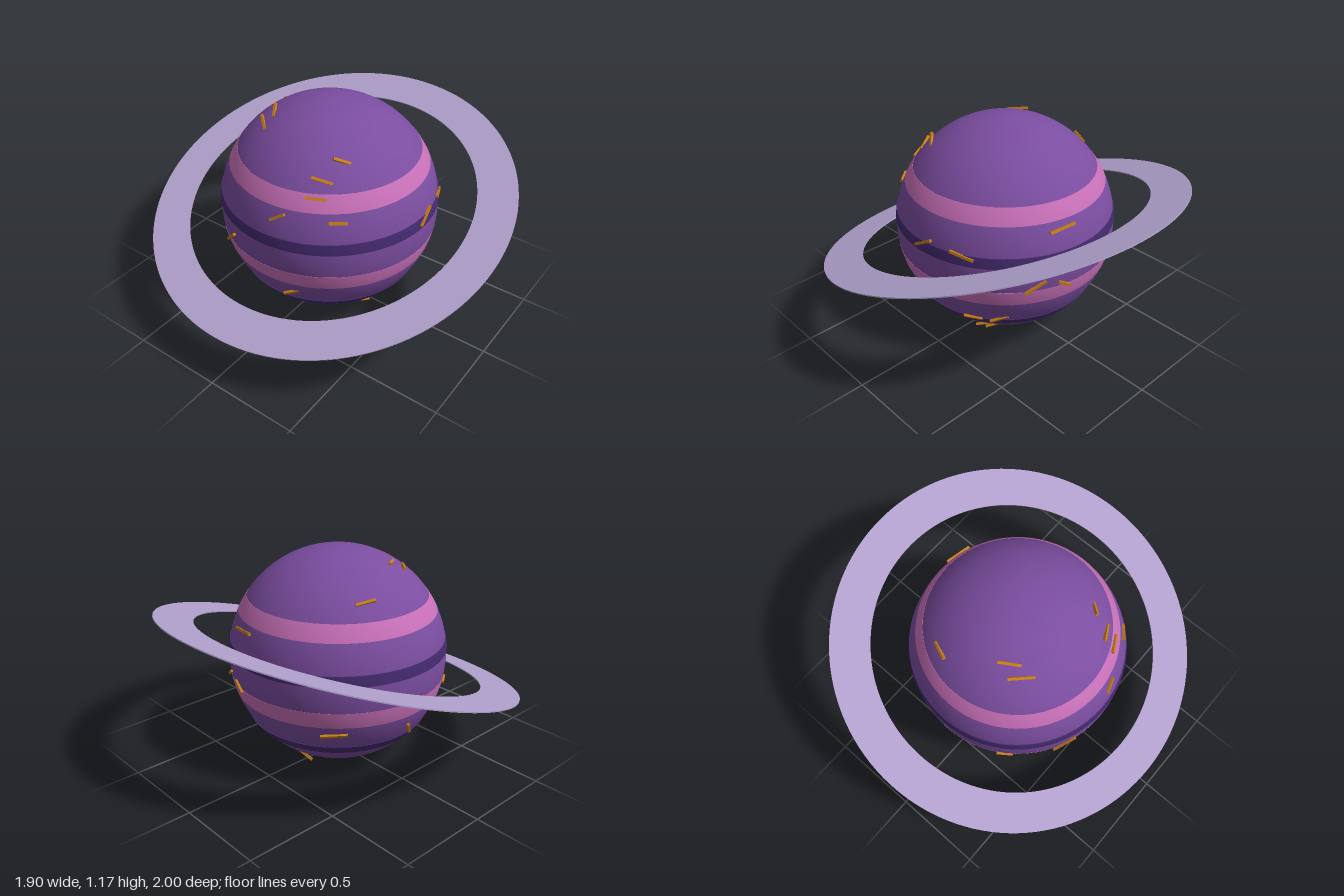
import * as THREE from 'three';

const R = 0.585;        // planet radius
const CY = 0.591;       // planet centre height

const mat = (name, color) => {
  const m = new THREE.MeshStandardMaterial({ color });
  m.name = name;
  return m;
};

export function createModel() {
  const purple = mat('purple', 0x7b4da0);
  const pink = mat('pink', 0xc870b8);
  const indigo = mat('indigo', 0x452b70);
  const lavender = mat('lavender', 0xb0a0cc);
  const amber = mat('amber', 0xc47c1a);

  const model = new THREE.Group();
  model.name = 'ringedPlanet';
  const planet = new THREE.Group();
  planet.name = 'planet';
  planet.position.y = CY;
  model.add(planet);

  const add = (parent, name, geometry, material) => {
    const mesh = new THREE.Mesh(geometry, material);
    mesh.name = name;
    parent.add(mesh);
    return mesh;
  };

  // Sphere slices from top to bottom: name, material, lower height, lift
  const slices = [
    ['northCap', purple, 0.925, 0],
    ['upperPinkBand', pink, 0.845, 0.001],
    ['northBelt', purple, 0.697, 0],
    ['upperDarkBand', indigo, 0.64, 0.004],
    ['equatorBelt', purple, 0.5, 0],
    ['lowerPinkBand', pink, 0.41, 0.001],
    ['southBelt', purple, 0.266, 0],
    ['lowerDarkBand', indigo, 0.212, 0.004],
    ['southCap', purple, CY - R, 0],
  ];
  const angle = (y) => Math.acos(THREE.MathUtils.clamp((y - CY) / R, -1, 1));
  let start = 0;
  for (const [name, material, bottom, lift] of slices) {
    const end = angle(bottom);
    const r = R + lift;
    const rows = Math.max(3, Math.ceil((end - start) * 16));
    add(planet, name, new THREE.SphereGeometry(r, 64, rows, 0, Math.PI * 2, start, end - start), material);
    // Small lips closing the raised bands
    if (lift > 0) {
      for (const [a, side] of [[start, -1], [end, 1]]) {
        const lip = add(planet, name + 'Lip',
          new THREE.RingGeometry((R - 0.004) * Math.sin(a), r * Math.sin(a), 64), material);
        lip.rotation.x = side * Math.PI / 2;
        lip.position.y = r * Math.cos(a);
      }
    }
    start = end;
  }

  // Thin tilted ring
  const shape = new THREE.Shape().absarc(0, 0, 1, 0, Math.PI * 2, false);
  shape.holes.push(new THREE.Path().absarc(0, 0, 0.79, 0, Math.PI * 2, true));
  const ringGeometry = new THREE.ExtrudeGeometry(shape, { depth: 0.006, bevelEnabled: false, curveSegments: 64 });
  ringGeometry.translate(0, 0, -0.003).rotateX(-Math.PI / 2);
  const ring = add(model, 'ring', ringGeometry, lavender);
  ring.position.y = CY + 0.002;
  ring.rotation.z = Math.PI / 10;

  // Small sticks lying on the surface, given by their two ends
  const sticks = [
    [-0.31, 1.08, 0.25, -0.23, 1.03, 0.32],
    [-0.41, 1.0, 0.19, -0.36, 0.97, 0.28],
    [-0.46, 0.91, 0.19, -0.41, 0.905, 0.28],
    [-0.45, 0.81, 0.32, -0.39, 0.805, 0.39],
    [-0.56, 0.78, 0.05, -0.535, 0.825, 0.12],
    [-0.03, 0.66, 0.585, 0.075, 0.72, 0.57],
    [0.19, 0.705, 0.55, 0.305, 0.68, 0.5],
    [0.49, 0.495, 0.33, 0.54, 0.555, 0.235],
    [0.525, 0.805, 0.2, 0.55, 0.815, 0.055],
    [0.56, 0.53, 0.17, 0.575, 0.485, 0.1],
    [0.18, 0.26, 0.465, 0.265, 0.26, 0.415],
    [0.31, 0.255, 0.4, 0.38, 0.295, 0.34],
    [0.165, 0.13, 0.37, 0.23, 0.155, 0.33],
    [0.21, 0.13, 0.34, 0.26, 0.16, 0.3],
    [0.32, 0.105, -0.02, 0.305, 0.07, -0.12],
    [-0.21, 0.19, 0.37, -0.14, 0.14, 0.36],
    [-0.535, 0.32, 0.1, -0.495, 0.355, 0.18],
    [-0.33, 0.095, -0.08, -0.32, 0.11, 0.02],
    [0.015, 0.355, -0.54, -0.05, 0.27, -0.49],
    [0.44, 0.35, -0.345, 0.34, 0.36, -0.44],
    [0.125, 1.01, -0.4, 0.22, 0.995, -0.36],
    [-0.275, 1.06, -0.195, -0.185, 1.07, -0.29],
    [-0.2, 1.1, -0.205, -0.105, 1.115, -0.27],
    [-0.5, 0.48, -0.29, -0.555, 0.585, -0.19],
  ];
  sticks.push([-0.29, 0.48, -0.51, -0.36, 0.48, -0.46]);

  const group = new THREE.Group();
  group.name = 'surfaceSticks';
  planet.add(group);
  for (const [ax, ay, az, bx, by, bz] of sticks) {
    const a = new THREE.Vector3(ax, ay - CY, az);
    const b = new THREE.Vector3(bx, by - CY, bz);
    const out = a.clone().add(b).normalize();
    const along = b.clone().sub(a);
    const length = along.length();
    along.normalize();
    const side = new THREE.Vector3().crossVectors(along, out).normalize();
    const up = new THREE.Vector3().crossVectors(side, along);
    const stick = add(group, 'stick', new THREE.BoxGeometry(length, 0.014, 0.014), amber);
    stick.quaternion.setFromRotationMatrix(new THREE.Matrix4().makeBasis(along, up, side));
    stick.position.copy(out).multiplyScalar(R + 0.004);
  }
  return model;
}
